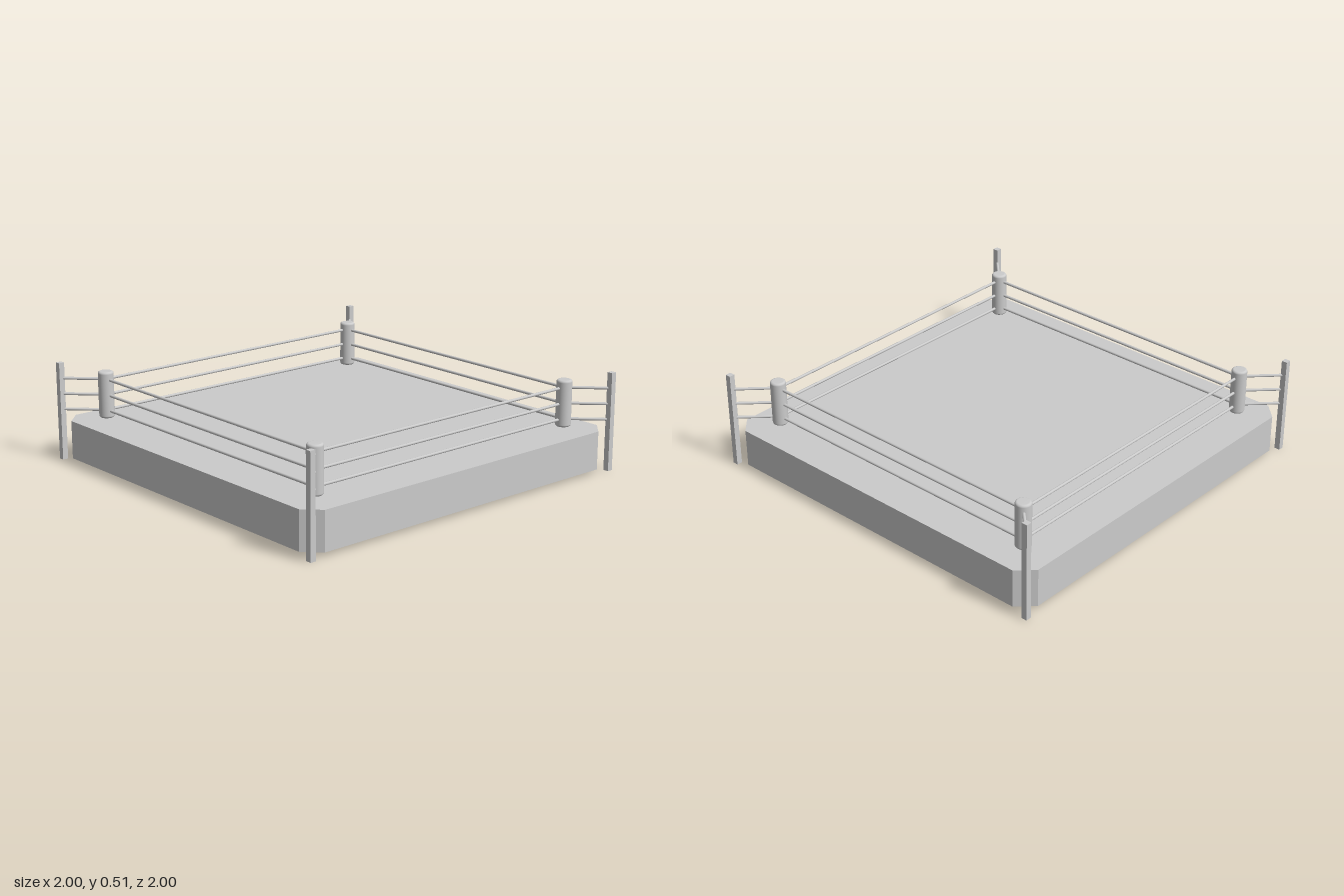
import * as THREE from 'three';

const material = new THREE.MeshStandardMaterial({ color: 0xcccccc });

function addMesh(parent, name, geometry, x = 0, y = 0, z = 0) {
  const mesh = new THREE.Mesh(geometry, material);
  mesh.name = name;
  mesh.position.set(x, y, z);
  parent.add(mesh);
  return mesh;
}

// Straight round bar between two points
function addBar(parent, name, from, to, radius) {
  const bar = addMesh(parent, name, new THREE.CylinderGeometry(radius, radius, from.distanceTo(to), 12));
  bar.position.copy(from).lerp(to, 0.5);
  bar.quaternion.setFromUnitVectors(new THREE.Vector3(0, 1, 0), to.clone().sub(from).normalize());
}

// Square platform with cut corners
function platformGeometry(half, cut, bottom, top) {
  const a = half - cut;
  const corners = [[a, -half], [half, -a], [half, a], [a, half], [-a, half], [-half, a], [-half, -a], [-a, -half]];
  const shape = new THREE.Shape(corners.map(([x, y]) => new THREE.Vector2(x, y)));
  const geometry = new THREE.ExtrudeGeometry(shape, { depth: top - bottom, bevelEnabled: false });
  return geometry.rotateX(-Math.PI / 2).translate(0, bottom, 0);
}

// Corner pad: upright cylinder with rounded rims
function padGeometry(radius, bottom, top, round) {
  const profile = [new THREE.Vector2(0, bottom)];
  for (let i = 0; i <= 5; i++) {
    const t = (i / 5) * Math.PI / 2;
    profile.push(new THREE.Vector2(radius - round + round * Math.sin(t), bottom + round - round * Math.cos(t)));
  }
  for (let i = 0; i <= 5; i++) {
    const t = (i / 5) * Math.PI / 2;
    profile.push(new THREE.Vector2(radius - round + round * Math.cos(t), top - round + round * Math.sin(t)));
  }
  profile.push(new THREE.Vector2(0, top));
  return new THREE.LatheGeometry(profile, 32);
}

export function createModel() {
  const ring = new THREE.Group();
  ring.name = 'boxingRing';
  const postAt = 0.985, padAt = 0.82, ropeRadius = 0.0075;
  const ropeHeights = [0.267, 0.348, 0.43];

  addMesh(ring, 'platform', platformGeometry(0.984, 0.081, 0.02, 0.219));

  // Corners in order round the ring
  const corners = [[1, 1], [1, -1], [-1, -1], [-1, 1]];
  corners.forEach(([sx, sz], i) => {
    const corner = new THREE.Group();
    corner.name = 'corner';
    ring.add(corner);
    addMesh(corner, 'post', new THREE.BoxGeometry(0.03, 0.512, 0.03), sx * postAt, 0.256, sz * postAt);
    addMesh(corner, 'cornerPad', padGeometry(0.04, 0.229, 0.472, 0.012), sx * padAt, 0, sz * padAt);

    // Ties from post to pad, and ropes on to the next corner
    const [nx, nz] = corners[(i + 1) % 4];
    for (const y of ropeHeights) {
      const pad = new THREE.Vector3(sx * padAt, y, sz * padAt);
      addBar(corner, 'tie', new THREE.Vector3(sx * postAt, y, sz * postAt), pad, ropeRadius);
      addBar(ring, 'rope', pad, new THREE.Vector3(nx * padAt, y, nz * padAt), ropeRadius);
    }
  });
  return ring;
}
